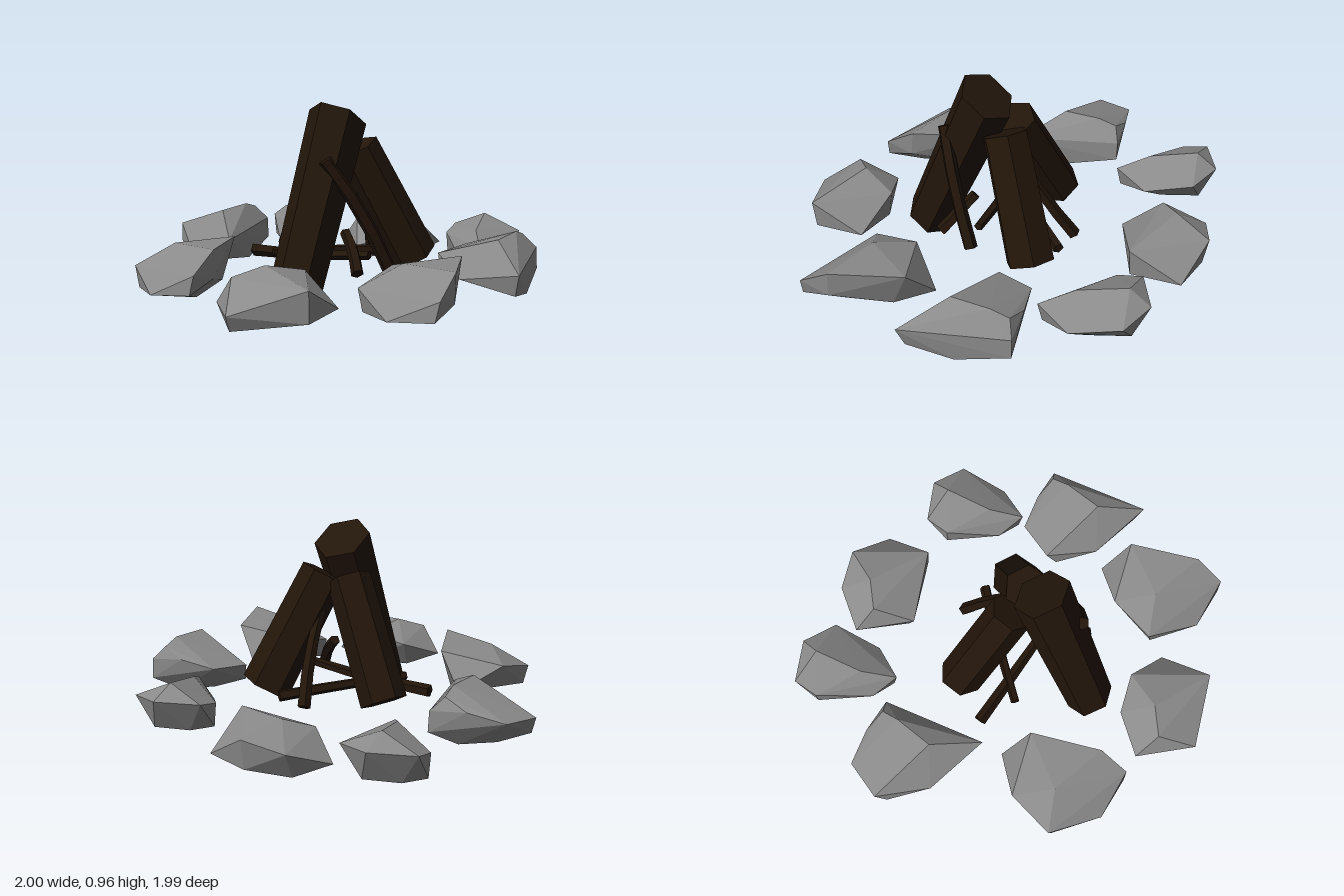
import * as THREE from 'three';
import { ConvexGeometry } from 'three/addons/geometries/ConvexGeometry.js';

const stone = new THREE.MeshStandardMaterial({ color: 0x8a8a8a, flatShading: true });
const wood = new THREE.MeshStandardMaterial({ color: 0x22150a, flatShading: true });
const V = (p) => new THREE.Vector3(...p);

// Four faceted stone shapes; each is used twice in the ring
const wideStone = [
  [-0.26, 0.14, 0], [-0.13, 0.22, -0.17], [0.05, 0.27, -0.22], [0.05, 0.13, -0.2],
  [0.255, 0.14, -0.145], [0.255, 0.27, 0.11], [0.25, 0.13, 0.1], [-0.065, 0.15, 0.225],
  [-0.04, 0.315, -0.04], [-0.15, 0.27, 0.05], [-0.07, 0.08, 0.19], [0.1, 0.08, -0.1], [-0.12, 0.09, -0.1],
];
const longStone = [
  [-0.225, 0.21, 0.115], [-0.2, 0.11, 0.12], [-0.175, 0.27, -0.12], [-0.01, 0.16, -0.285],
  [0.12, 0.325, -0.2], [0.1, 0.13, -0.12], [0.225, 0.33, 0.13], [0.225, 0.2, 0.14],
  [0.22, 0.24, 0.28], [0.2, 0.15, 0.285], [-0.01, 0.13, 0.285], [-0.05, 0.32, 0.04],
  [-0.08, 0.1, 0.13], [0.12, 0.1, 0.12],
];
const smallStone = [
  [-0.19, 0.28, -0.16], [0, 0.29, -0.245], [0.16, 0.27, -0.165], [0.19, 0.2, 0.07],
  [0.1, 0.24, 0.24], [0.09, 0.14, 0.22], [-0.03, 0.17, 0.175], [-0.19, 0.25, -0.04],
  [-0.185, 0.14, -0.05], [-0.02, 0.35, -0.14], [0.02, 0.3, 0.09],
  [-0.1, 0.13, -0.12], [0.05, 0.14, -0.18], [0.11, 0.14, 0],
];
const wedgeStone = [
  [-0.25, 0.25, -0.04], [-0.22, 0.16, 0], [-0.18, 0.27, -0.22], [-0.01, 0.3, -0.245],
  [0.16, 0.28, -0.25], [0.1, 0.345, -0.22], [0.165, 0.18, -0.25], [0.245, 0.25, 0.25],
  [0.22, 0.15, 0.22], [-0.065, 0.18, 0.15], [0.1, 0.37, -0.13], [0.08, 0.36, 0.06],
  [0.2, 0.115, 0], [-0.1, 0.13, -0.1], [0.05, 0.12, -0.18],
];

function rock(name, shape, position) {
  const mesh = new THREE.Mesh(new ConvexGeometry(shape.map(V)), stone);
  mesh.position.set(...position);
  mesh.name = name;
  return mesh;
}

// Tapered timber from foot to top: bow bends it sideways, twist turns its sides, cut slants its ends
function timber(name, foot, top, rFoot, rTop, sides, { bow = 0, twist = 0, cut = 0 } = {}) {
  const a = V(foot), b = V(top);
  const len = a.distanceTo(b);
  const geo = new THREE.CylinderGeometry(rTop, rFoot, len, sides, bow ? 3 : 1).rotateY(twist);
  const pos = geo.attributes.position;
  for (let i = 0; i < pos.count; i++) {
    const y = pos.getY(i);
    pos.setX(i, pos.getX(i) + bow * Math.cos((y / len) * Math.PI));
    pos.setY(i, y + cut * pos.getZ(i));
  }
  geo.computeVertexNormals();
  const mesh = new THREE.Mesh(geo, wood);
  mesh.quaternion.setFromUnitVectors(new THREE.Vector3(0, 1, 0), b.clone().sub(a).normalize());
  mesh.position.copy(a).add(b).multiplyScalar(0.5);
  mesh.name = name;
  return mesh;
}

export function createModel() {
  const model = new THREE.Group();
  model.name = 'campfire';

  // Ring of stones
  const ring = new THREE.Group();
  ring.name = 'stoneRing';
  ring.add(
    rock('frontStone', wideStone, [0.12, 0, 0.765]),
    rock('backStone', wideStone, [-0.07, 0, -0.775]),
    rock('frontLeftStone', longStone, [0.635, 0, 0.4]),
    rock('frontRightStone', longStone, [-0.475, 0, 0.49]),
    rock('backLeftStone', smallStone, [0.525, 0, -0.61]),
    rock('backRightStone', smallStone, [-0.55, 0, -0.67]),
    rock('leftStone', wedgeStone, [0.75, 0, -0.105]),
    rock('rightStone', wedgeStone, [-0.75, 0.01, -0.14]),
  );

  // Three six-sided logs leaning together
  const logs = new THREE.Group();
  logs.name = 'logs';
  logs.add(
    timber('frontLog', [0.025, 0.065, 0.41], [0.078, 0.89, 0.07], 0.12, 0.138, 6, { twist: -0.2, cut: 0.17 }),
    timber('backLeftLog', [0.33, 0.2, -0.235], [0.12, 0.74, -0.03], 0.12, 0.11, 6),
    timber('backRightLog', [-0.27, 0.2, -0.175], [-0.01, 0.73, -0.03], 0.11, 0.105, 6),
  );

  // Kindling between the logs
  const kindling = new THREE.Group();
  kindling.name = 'kindling';
  kindling.add(
    timber('crossTwig', [-0.41, 0.21, 0.03], [0.24, 0.25, 0.06], 0.032, 0.022, 5, { bow: 0.01 }),
    timber('diagonalTwig', [-0.24, 0.23, 0.13], [0.2, 0.2, -0.33], 0.022, 0.028, 5, { bow: -0.01 }),
    timber('backTwig', [0.05, 0.18, -0.36], [0.1, 0.58, -0.1], 0.032, 0.025, 5, { bow: 0.015 }),
    timber('leaningTwig', [0.34, 0.2, 0.06], [0.12, 0.71, 0.27], 0.034, 0.032, 5, { bow: 0.025 }),
    timber('sideTwig', [0.27, 0.2, 0.24], [0.14, 0.36, 0.11], 0.03, 0.026, 5, { bow: 0.01 }),
  );

  model.add(ring, logs, kindling);
  return model;
}
